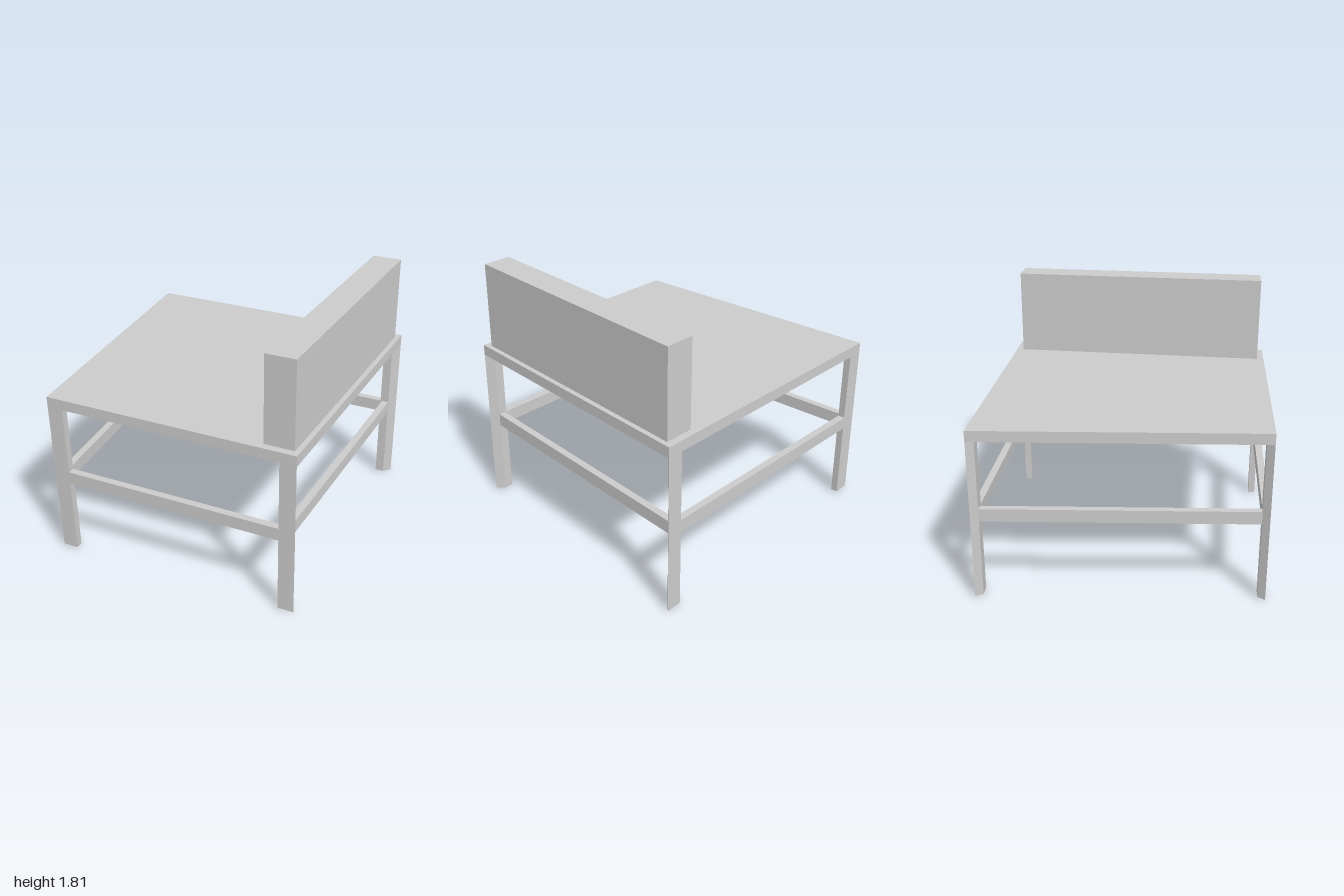
import * as THREE from 'three';

const material = new THREE.MeshStandardMaterial({ color: 0xcccccc, flatShading: true });

// The whole piece leans very slightly
function lean(geometry) {
  const p = geometry.attributes.position;
  for (let i = 0; i < p.count; i++) {
    const x = p.getX(i), y = p.getY(i), z = p.getZ(i);
    p.setXYZ(i, x - 0.013 * (y - 1.2), y - 0.005 * x, z + 0.005 * (y - 1.2));
  }
  geometry.computeVertexNormals();
  return geometry;
}

// Upright prism over a plan outline of [x, z] corners, with an optional hole
function prism(name, outline, y0, y1, hole) {
  const toPoints = (list) => list.map(([x, z]) => new THREE.Vector2(x, -z));
  const shape = new THREE.Shape(toPoints(outline));
  if (hole) shape.holes.push(new THREE.Path(toPoints(hole)));
  const geometry = new THREE.ExtrudeGeometry(shape, { depth: y1 - y0, bevelEnabled: false });
  geometry.rotateX(-Math.PI / 2).translate(0, y0, 0);
  const mesh = new THREE.Mesh(lean(geometry), material);
  mesh.name = name;
  return mesh;
}

export function createModel() {
  const group = new THREE.Group();
  group.name = 'benchSeat';
  const depth = 0.05, legWidth = 0.112;
  const zOuter = 0.967, zInner = zOuter - depth;

  // Plan corners, wider at the back than at the front
  const corners = [
    { name: 'frontLeft', x: 0.87, z: zOuter, cut: 0.05 },
    { name: 'backLeft', x: 0.983, z: -zOuter, cut: 0.05 },
    { name: 'backRight', x: -1.0, z: -zOuter, cut: 0.035 },
    { name: 'frontRight', x: -0.895, z: zOuter, cut: 0.035 },
  ];
  const outline = corners.map((c) => [c.x, c.z]);
  const inner = corners.map((c) => [c.x - Math.sign(c.x) * c.cut, Math.sign(c.z) * zInner]);

  // Mitred apron frame and the thin seat sheet inside it
  group.add(prism('apron', outline, 1.135, 1.21, inner));
  group.add(prism('seat', inner, 1.19, 1.21));

  // Legs with their outer side cut at the mitre
  corners.forEach((c, i) => {
    const xIn = c.x - Math.sign(c.x) * legWidth;
    const plan = [[c.x, c.z], inner[i], [xIn, inner[i][1]], [xIn, c.z]];
    group.add(prism(c.name + 'Leg', plan, 0.008, 1.135));
  });

  // Front and back stretchers, flush with the legs
  for (const [a, b, name] of [[0, 3, 'frontStretcher'], [1, 2, 'backStretcher']]) {
    const x0 = corners[b].x + legWidth, x1 = corners[a].x - legWidth;
    const z0 = corners[a].z, z1 = inner[a][1];
    group.add(prism(name, [[x0, z0], [x1, z0], [x1, z1], [x0, z1]], 0.557, 0.647));
  }

  // Side stretchers between the inner ends of the mitres
  for (const [a, b, name] of [[0, 1, 'leftStretcher'], [3, 2, 'rightStretcher']]) {
    const s = Math.sign(corners[a].x) * depth;
    const [xa, za] = inner[a], [xb, zb] = inner[b];
    group.add(prism(name, [[xa, za], [xb, zb], [xb - s, zb], [xa - s, za]], 0.557, 0.647));
  }

  // Backrest block, passing down through the seat along the left side
  const rest = [[0.635, 0.917], [0.838, 0.917], [0.946, -0.917], [0.743, -0.917]];
  group.add(prism('backrest', rest, 1.14, 1.82));

  return group;
}
